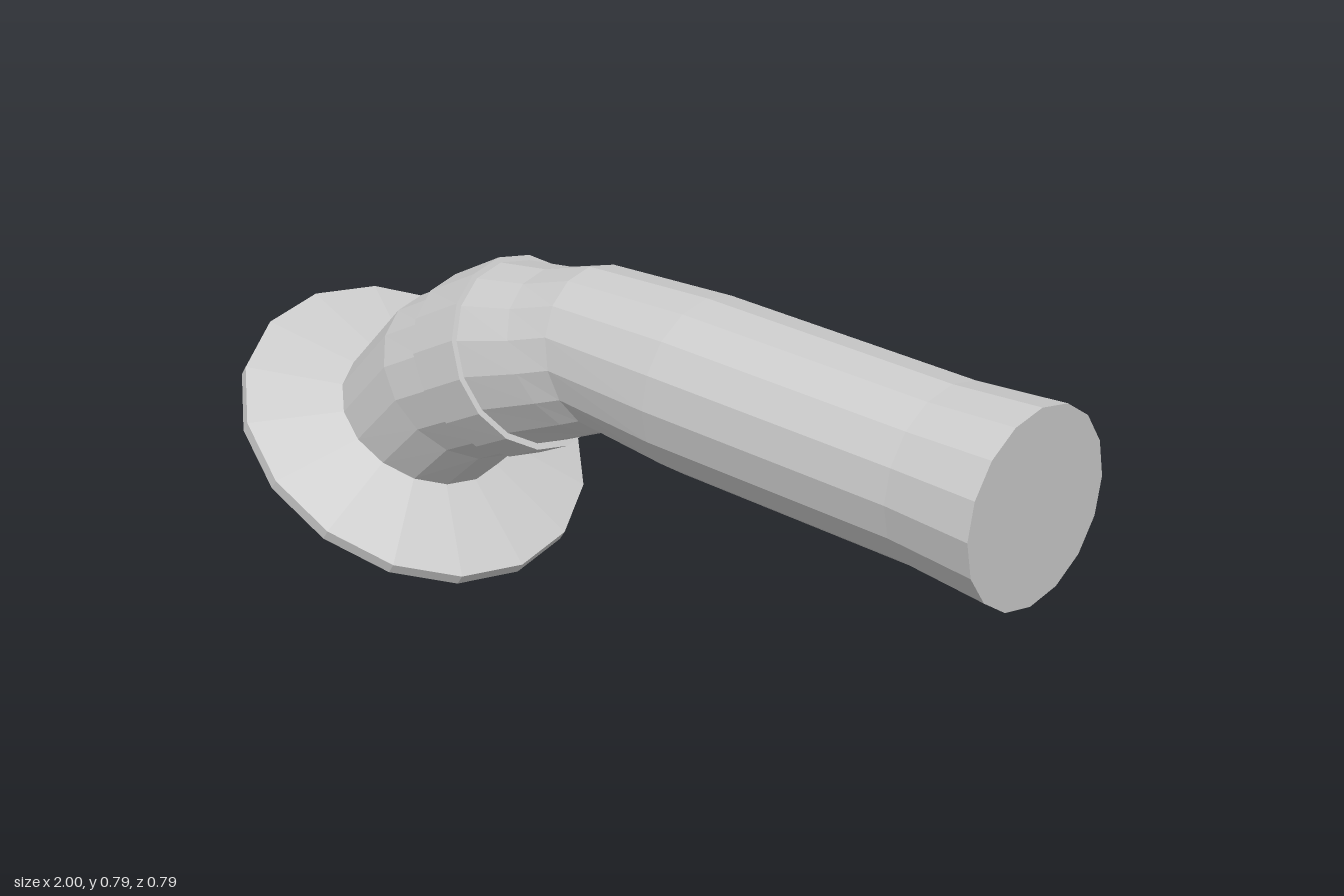
import * as THREE from 'three';

const SIDES = 16;
const material = new THREE.MeshStandardMaterial({ color: 0xcccccc, flatShading: true });

// Skins circular rings, each given by its top and bottom point in the xy plane.
function loft(name, rings) {
  const points = rings.map(([tx, ty, bx, by]) => {
    const c = new THREE.Vector3((tx + bx) / 2, (ty + by) / 2, 0);
    const up = new THREE.Vector3((tx - bx) / 2, (ty - by) / 2, 0);
    const r = up.length();
    const ring = [];
    for (let k = 0; k < SIDES; k++) {
      const a = (k / SIDES) * Math.PI * 2;
      const p = c.clone().addScaledVector(up, Math.cos(a));
      p.z = r * Math.sin(a);
      ring.push(p);
    }
    return { c, ring };
  });
  const pos = [];
  const tri = (...vs) => vs.forEach((v) => pos.push(v.x, v.y, v.z));
  const first = points[0];
  const last = points[points.length - 1];
  for (let k = 0; k < SIDES; k++) {
    const n = (k + 1) % SIDES;
    for (let i = 0; i < points.length - 1; i++) {
      const a = points[i].ring;
      const b = points[i + 1].ring;
      tri(a[k], a[n], b[n]);
      tri(a[k], b[n], b[k]);
    }
    // flat end caps
    tri(first.c, first.ring[n], first.ring[k]);
    tri(last.c, last.ring[k], last.ring[n]);
  }
  const geometry = new THREE.BufferGeometry();
  geometry.setAttribute('position', new THREE.Float32BufferAttribute(pos, 3));
  geometry.computeVertexNormals();
  const mesh = new THREE.Mesh(geometry, material);
  mesh.name = name;
  return mesh;
}

export function createModel() {
  const group = new THREE.Group();
  group.name = 'pipeElbow';

  // short bent pipe rising from the flange
  group.add(loft('lowerPipe', [
    [-0.79, 0.39, -0.47, 0.18],
    [-0.63, 0.56, -0.37, 0.27],
    [-0.51, 0.625, -0.275, 0.317],
  ]));

  // slightly wider wedge-shaped sleeve at the bend
  group.add(loft('collar', [
    [-0.52, 0.637, -0.27, 0.307],
    [-0.385, 0.71, -0.187, 0.348],
  ]));

  // long pipe, narrowing after the collar and flaring at its end
  group.add(loft('upperPipe', [
    [-0.38, 0.70, -0.193, 0.36],
    [-0.25, 0.72, -0.05, 0.425],
    [-0.12, 0.76, -0.02, 0.44],
    [0.2, 0.78, 0.2, 0.42],
    [0.8, 0.78, 0.8, 0.42],
    [1, 0.795, 1, 0.405],
  ]));

  // tilted conical flange, hollowed underneath
  const profile = [[0, 0.045], [0.19, 0.045], [0.37, 0], [0.395, 0], [0.395, 0.026], [0.185, 0.076]]
    .map(([r, y]) => new THREE.Vector2(r, y));
  const flange = new THREE.Mesh(new THREE.LatheGeometry(profile, SIDES), material);
  flange.name = 'flange';
  flange.position.set(-0.6725, 0.2235, 0);
  flange.rotation.z = -0.595;
  group.add(flange);

  return group;
}
